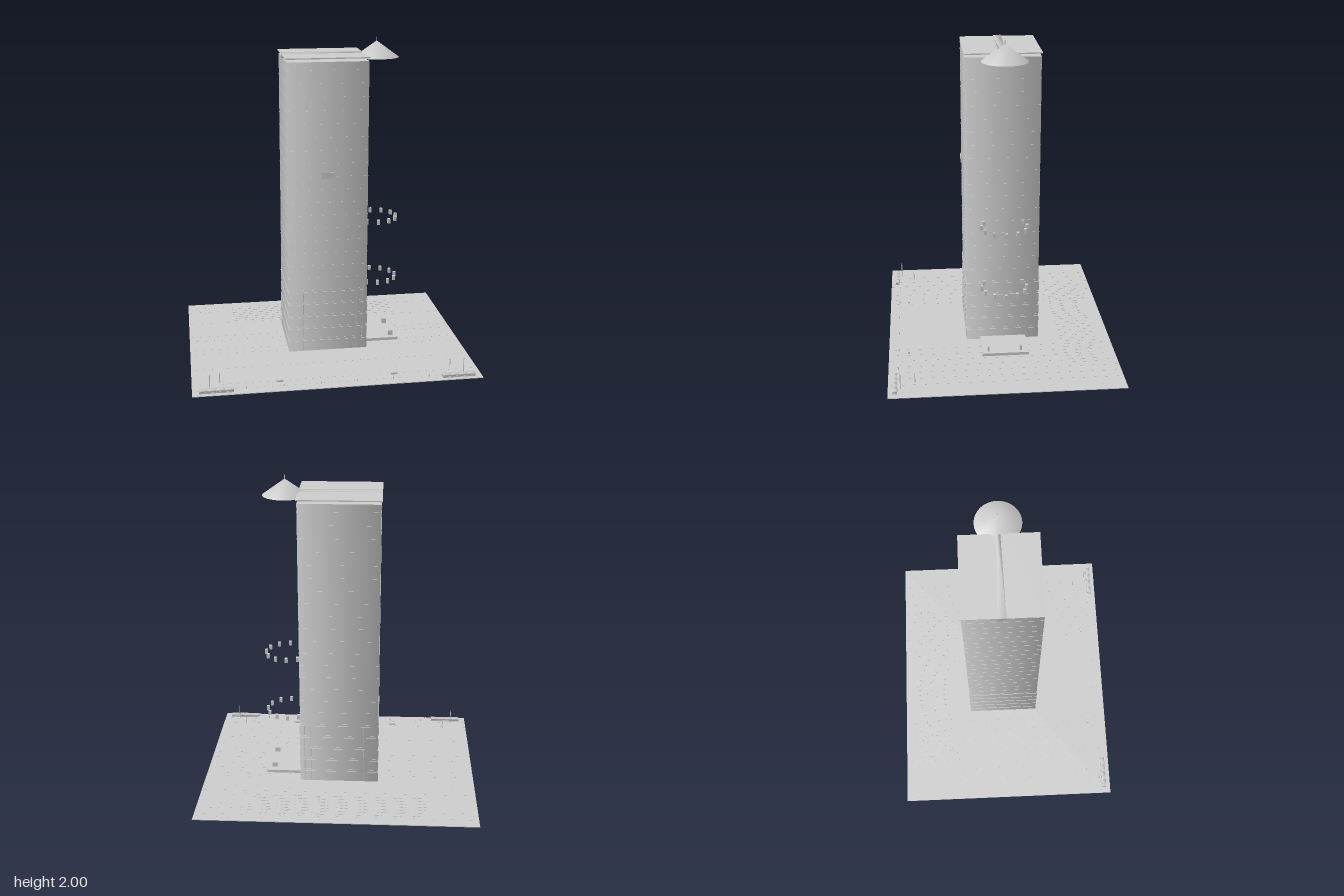
import * as THREE from 'three';
import { mergeVertices } from 'three/addons/utils/BufferGeometryUtils.js';

const concrete = new THREE.MeshStandardMaterial({ color: 0xcccccc });
concrete.name = 'light grey concrete';
const shell = new THREE.MeshStandardMaterial({ color: 0xcccccc, side: THREE.DoubleSide });
shell.name = 'light grey shell';

// tower footprint
const X0 = -0.252, X1 = 0.248, Z0 = -0.25, Z1 = 0.21;
const CX = (X0 + X1) / 2, CZ = (Z0 + Z1) / 2, W = X1 - X0, D = Z1 - Z0;
const BASE = 0.022, FLOOR = 0.0822, TOP = 1.88;

function add(parent, name, geo, x, y, z, mat = concrete) {
  const m = new THREE.Mesh(geo, mat);
  m.position.set(x, y, z);
  m.name = name;
  parent.add(m);
}

// box from its min and max corners
function box(parent, name, x0, x1, y0, y1, z0, z1) {
  add(parent, name, new THREE.BoxGeometry(x1 - x0, y1 - y0, z1 - z0),
    (x0 + x1) / 2, (y0 + y1) / 2, (z0 + z1) / 2);
}

function pole(parent, name, x, z, y0, y1, r) {
  add(parent, name, new THREE.CylinderGeometry(r, r, y1 - y0, 8), x, (y0 + y1) / 2, z);
}

// softly shaded four-sided block on the tower footprint, grown by a margin
function footprintBlock(parent, name, margin, y0, y1) {
  const geo = new THREE.CylinderGeometry(Math.SQRT1_2, Math.SQRT1_2, y1 - y0, 4, 1);
  geo.rotateY(Math.PI / 4);
  geo.scale(W + 2 * margin, 1, D + 2 * margin);
  add(parent, name, geo, CX, (y0 + y1) / 2, CZ);
}

// joins shared corners so that shading runs over the edges
function smooth(geo) {
  geo.deleteAttribute('normal');
  geo.deleteAttribute('uv');
  const joined = mergeVertices(geo);
  joined.computeVertexNormals();
  return joined;
}

function group(parent, name) {
  const g = new THREE.Group();
  g.name = name;
  parent.add(g);
  return g;
}

function buildPlaza(root) {
  const g = group(root, 'plaza');
  box(g, 'ground', -0.883, 0.883, 0, 0.004, -0.72, 0.712);

  // paving strips
  const zs = [-0.645, -0.575, -0.365, -0.145, -0.075, 0.065, 0.135, 0.355, 0.57, 0.64];
  for (const z of zs) box(g, 'pavingStrip', -0.883, 0.883, 0.004, 0.0044, z - 0.003, z + 0.003);
  for (let i = 0; i < 7; i++) for (const s of [-1, 1]) {
    const x = s * (0.318 + i * 0.0705);
    box(g, 'pavingStrip', x - 0.003, x + 0.003, 0.004, 0.0046, -0.72, 0.712);
  }

  // field of small plates behind the tower
  const field = group(g, 'plateField');
  for (let i = 0; i < 30; i++) for (let j = 0; j < 7; j++) {
    const x = -0.56 + i * 0.0381, z = -0.615 + j * 0.0345;
    box(field, 'plate', x - 0.013, x + 0.013, 0.004, 0.0055, z - 0.011, z + 0.011);
  }

  // planters, lamps, benches and bollards along the front edge
  for (const s of [-1, 1]) {
    const c = s * 0.738;
    box(g, 'planterBase', c - 0.103, c + 0.103, 0.004, 0.012, 0.655, 0.685);
    for (let i = 0; i < 4; i++) {
      const x = c - 0.077 + i * 0.0513;
      add(g, 'planter', smooth(new THREE.BoxGeometry(0.05, 0.013, 0.026)), x, 0.0185, 0.67);
    }
    pole(g, 'tallLamp', s * 0.777, 0.637, 0.004, 0.107, 0.0025);
    pole(g, 'shortLamp', s * 0.715, 0.55, 0.004, 0.067, 0.0025);
    box(g, 'bench', s * 0.352 - 0.02, s * 0.352 + 0.02, 0.004, 0.015, 0.58, 0.592);
    for (const x of [0.11, 0.335, 0.56]) pole(g, 'bollard', s * x, 0.65, 0.004, 0.02, 0.003);
  }
}

function buildTower(root) {
  const g = group(root, 'tower');
  footprintBlock(g, 'shaft', 0, BASE, TOP);

  // storey lines
  for (let k = 1; k <= 22; k++) {
    const y = BASE + k * FLOOR;
    footprintBlock(g, 'storeyLine', 0.0012, y - 0.002, y + 0.002);
  }

  // raised bands and mullions of the five lower storeys
  const lower = group(g, 'lowerStoreys');
  for (let k = 0; k < 5; k++) {
    const y0 = BASE + k * FLOOR + 0.008, y1 = y0 + 0.062;
    footprintBlock(lower, 'storeyBand', 0.003, y0, y1);
    for (const x of [-0.16, 0.18, 0.22]) {
      box(lower, 'frontMullion', x - 0.002, x + 0.002, y0, y1, Z1 + 0.003, Z1 + 0.004);
      box(lower, 'backMullion', x - 0.002, x + 0.002, y0, y1, Z0 - 0.004, Z0 - 0.003);
    }
  }

  // thin roof plates carried by a tapering beam
  box(g, 'frontRoofPlate', X0 - 0.006, X1 + 0.006, 1.897, 1.904, 0, Z1 + 0.002);
  box(g, 'backRoofPlate', X0 - 0.006, X1 + 0.006, 1.897, 1.904, Z0 - 0.006, -0.05);
  const beam = new THREE.BoxGeometry(0.51, 0.03, 0.05);
  const p = beam.attributes.position;
  for (let i = 0; i < p.count; i++) if (p.getX(i) > 0) p.setZ(i, p.getZ(i) * 0.45);
  add(g, 'roofBeam', smooth(beam), -0.003, 1.895, -0.025);

  // sign board in front of the facade
  box(g, 'signBoard', -0.046, 0.042, 1.166, 1.202, Z1 + 0.013, Z1 + 0.017);
}

function buildAnnex(root) {
  const g = group(root, 'sideTerrace');
  const ax = 0.337, az = -0.023;

  // terrace with two low blocks
  box(g, 'terrace', X1, 0.477, 0.024, 0.042, -0.167, 0.125);
  for (const z of [0.085, -0.12]) box(g, 'terraceBlock', 0.418, 0.45, 0.042, 0.075, z - 0.005, z + 0.005);

  // two rings of floating blocks
  for (const y of [0.43, 0.838]) for (let i = 0; i < 12; i++) {
    const a = i * Math.PI / 6;
    const x = ax + 0.141 * Math.cos(a), z = az + 0.141 * Math.sin(a);
    if (x > X1) box(g, 'ringBlock', x - 0.009, x + 0.009, y - 0.015, y + 0.015, z - 0.009, z + 0.009);
  }

  // conical canopy and its spire
  add(g, 'conicalCanopy', smooth(new THREE.ConeGeometry(0.139, 0.1, 32, 1, true)), ax, 1.925, az, shell);
  pole(g, 'spire', ax, az, 1.965, 2, 0.002);
}

export function createModel() {
  const root = new THREE.Group();
  root.name = 'towerOnPlaza';
  buildPlaza(root);
  buildTower(root);
  buildAnnex(root);
  return root;
}
